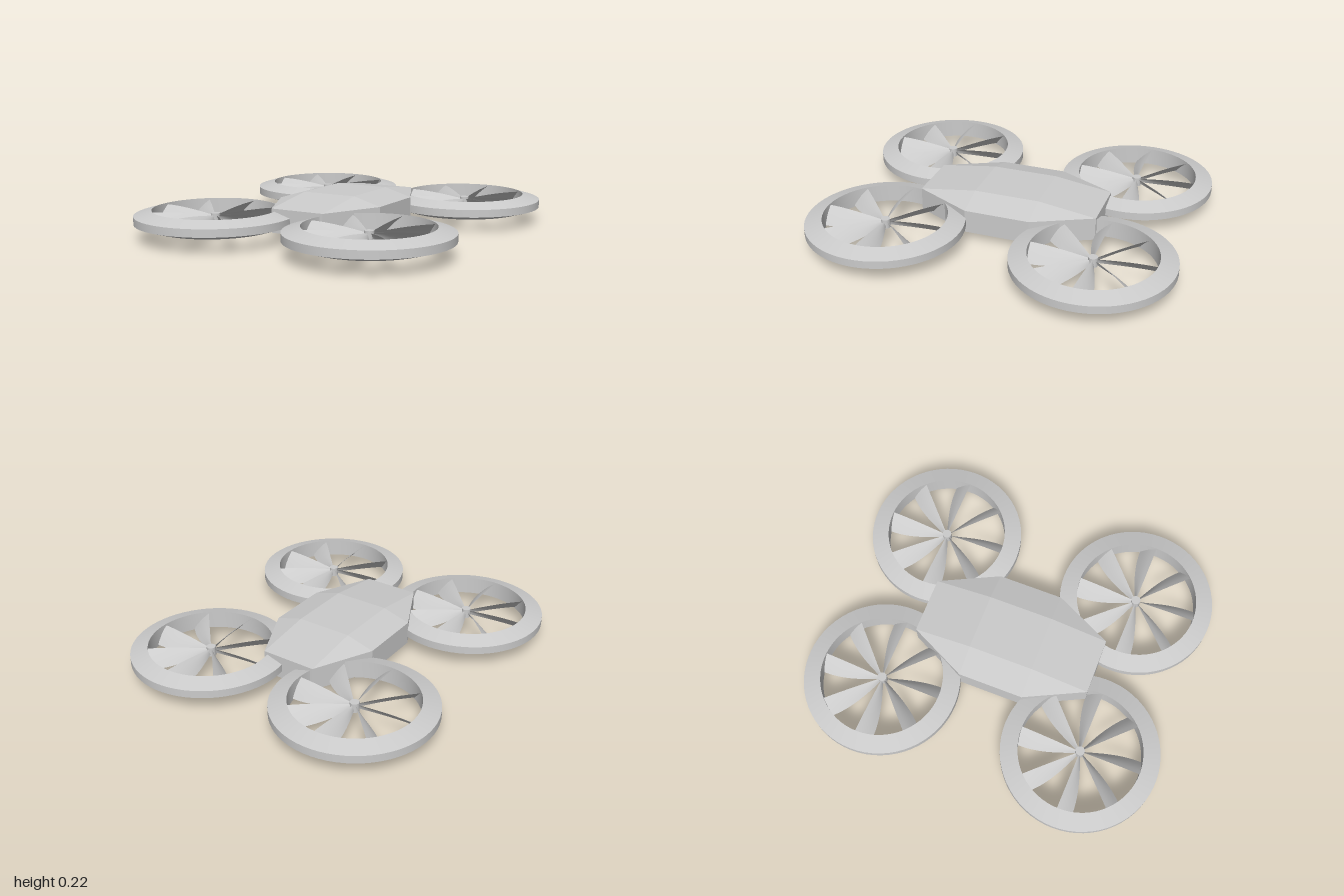
import * as THREE from 'three';
import { toCreasedNormals } from 'three/addons/utils/BufferGeometryUtils.js';
import { ConvexGeometry } from 'three/addons/geometries/ConvexGeometry.js';

const grey = new THREE.MeshStandardMaterial({ color: 0xcccccc });
const bladeGrey = new THREE.MeshStandardMaterial({ color: 0xcccccc, side: THREE.DoubleSide });

const MID = 0.108;        // height of the rotor plane
const DUCT_INNER = 0.333;
const DUCT_OUTER = 0.427;
const BLADES = 8;

function part(name, geometry, material = grey) {
  const mesh = new THREE.Mesh(geometry, material);
  mesh.name = name;
  return mesh;
}

// Faceted hull: flat roof and floor, chamfered towards an eight-sided rim
function bodyGeometry() {
  const points = [];
  for (const sx of [-1, 1]) for (const sz of [-1, 1]) for (const sy of [-1, 1]) {
    const roof = MID + sy * 0.108, rim = MID + sy * 0.064;
    points.push(
      new THREE.Vector3(sx * 0.155, roof, sz * 0.18),
      new THREE.Vector3(sx * 0.31, rim, sz * 0.18),
      new THREE.Vector3(sx * 0.155, rim, sz * 0.5),
    );
  }
  return new ConvexGeometry(points);
}

// Ring duct with a bevelled outer rim
function ductGeometry() {
  const profile = [
    [DUCT_INNER, -0.049], [DUCT_OUTER, -0.021], [DUCT_OUTER, 0.021],
    [DUCT_INNER, 0.049], [DUCT_INNER, -0.049],
  ].map(([r, y]) => new THREE.Vector2(r, y));
  return toCreasedNormals(new THREE.LatheGeometry(profile, 64), 0.4);
}

// Pitched blade: widens towards the tip, its free edge sweeping forward and down
function bladeGeometry() {
  const geometry = new THREE.PlaneGeometry(1, 1, 12, 4);
  const pos = geometry.attributes.position;
  for (let i = 0; i < pos.count; i++) {
    const t = pos.getX(i) + 0.5;
    const s = pos.getY(i) + 0.5;
    const grow = Math.sin(t * Math.PI / 2);
    const width = 0.008 + 0.077 * grow;
    const drop = 0.025 + 0.055 * grow;
    const r = 0.015 + t * (DUCT_INNER - 0.015);
    const across = -0.01 * t + s * width;
    const height = (0.5 - s) * drop + 0.006 * Math.sin(s * Math.PI);
    pos.setXYZ(i, r, height, -across);
  }
  geometry.computeVertexNormals();
  return geometry;
}

export function createModel() {
  const model = new THREE.Group();
  model.name = 'quadcopter';
  model.add(part('body', bodyGeometry()));

  const duct = ductGeometry();
  const blade = bladeGeometry();
  const hub = new THREE.CylinderGeometry(0.025, 0.025, 0.05, 20);

  // Four identical ducted rotors at the corners
  for (const [side, x] of [['Left', 0.463], ['Right', -0.463]]) {
    for (const [end, z] of [['front', 0.573], ['back', -0.573]]) {
      const rotor = new THREE.Group();
      rotor.name = `${end}${side}Rotor`;
      rotor.position.set(x, MID, z);
      rotor.add(part('duct', duct), part('hub', hub));
      for (let i = 0; i < BLADES; i++) {
        const b = part('blade', blade, bladeGrey);
        b.rotation.y = i * Math.PI * 2 / BLADES;
        rotor.add(b);
      }
      model.add(rotor);
    }
  }
  return model;
}
